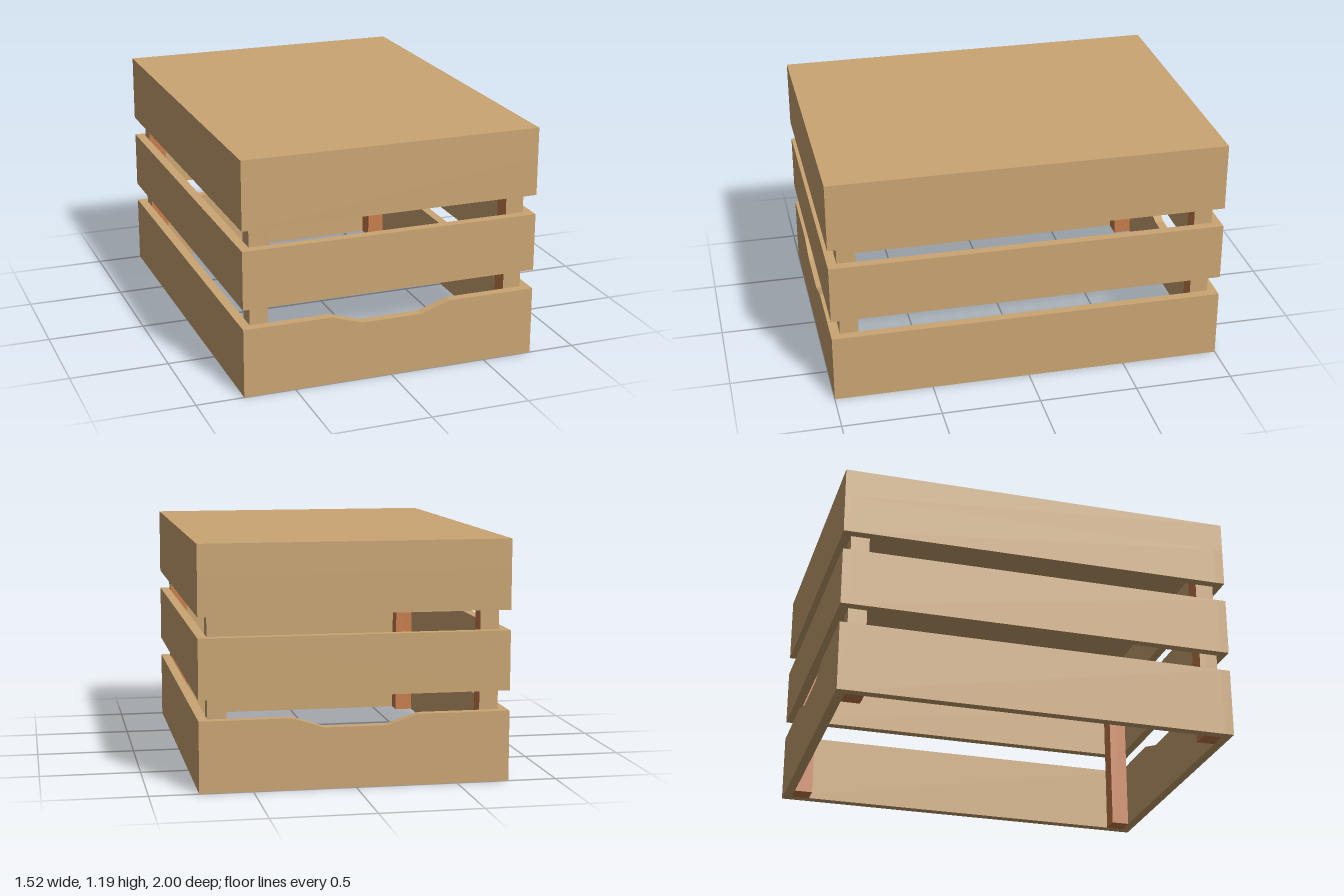
import * as THREE from 'three';

const W = 0.76, D = 1, T = 0.047;      // half width, half depth, board thickness
const LID_Y = 1.04, TOP = 1.19;
const tan = new THREE.MeshStandardMaterial({ color: 0xcaa573, flatShading: true });
const orange = new THREE.MeshStandardMaterial({ color: 0xc87d4b, flatShading: true });

function add(parent, name, geometry, x, y, z, material = tan) {
  const mesh = new THREE.Mesh(geometry, material);
  mesh.name = name;
  mesh.position.set(x, y, z);
  parent.add(mesh);
  return mesh;
}

// Front or back board, optionally with a shallow hand notch in its top edge
function endBoard(height, notch) {
  const s = new THREE.Shape();
  s.moveTo(-W, 0);
  s.lineTo(W, 0);
  s.lineTo(W, height);
  if (notch) {
    s.lineTo(0.31, height);
    s.lineTo(0.155, height - 0.05);
    s.lineTo(-0.155, height - 0.05);
    s.lineTo(-0.31, height);
  }
  s.lineTo(-W, height);
  s.closePath();
  return new THREE.ExtrudeGeometry(s, { depth: T, bevelEnabled: false }).translate(0, 0, -T / 2);
}

// Four boards forming one tier of the crate
function tier(name, y0, y1, notch) {
  const g = new THREE.Group();
  g.name = name;
  const h = y1 - y0;
  for (const s of [1, -1]) {
    add(g, s > 0 ? 'frontBoard' : 'backBoard', endBoard(h, notch), 0, y0, s * (D - T / 2));
    add(g, s > 0 ? 'leftBoard' : 'rightBoard', new THREE.BoxGeometry(T, h, 2 * (D - T)),
      s * (W - T / 2), y0 + h / 2, 0);
  }
  return g;
}

export function createModel() {
  const crate = new THREE.Group();
  crate.name = 'crate';
  crate.add(tier('bottomTier', 0, 0.35, true));
  crate.add(tier('middleTier', 0.45, 0.745, false));
  crate.add(tier('topTier', 0.845, LID_Y, false));

  // Closed top
  add(crate, 'lid', new THREE.BoxGeometry(2 * W, TOP - LID_Y, 2 * D), 0, (TOP + LID_Y) / 2, 0);

  // Corner posts: pale on the outward faces, orange inside
  const p = 0.093;
  for (const sx of [1, -1]) {
    for (const sz of [1, -1]) {
      const faces = [
        sx > 0 ? tan : orange, sx < 0 ? tan : orange,
        orange, orange,
        sz > 0 ? tan : orange, sz < 0 ? tan : orange,
      ];
      add(crate, 'cornerPost', new THREE.BoxGeometry(p, LID_Y, p),
        sx * (W - T - p / 2), LID_Y / 2, sz * (D - T - p / 2), faces);
    }
  }
  return crate;
}
